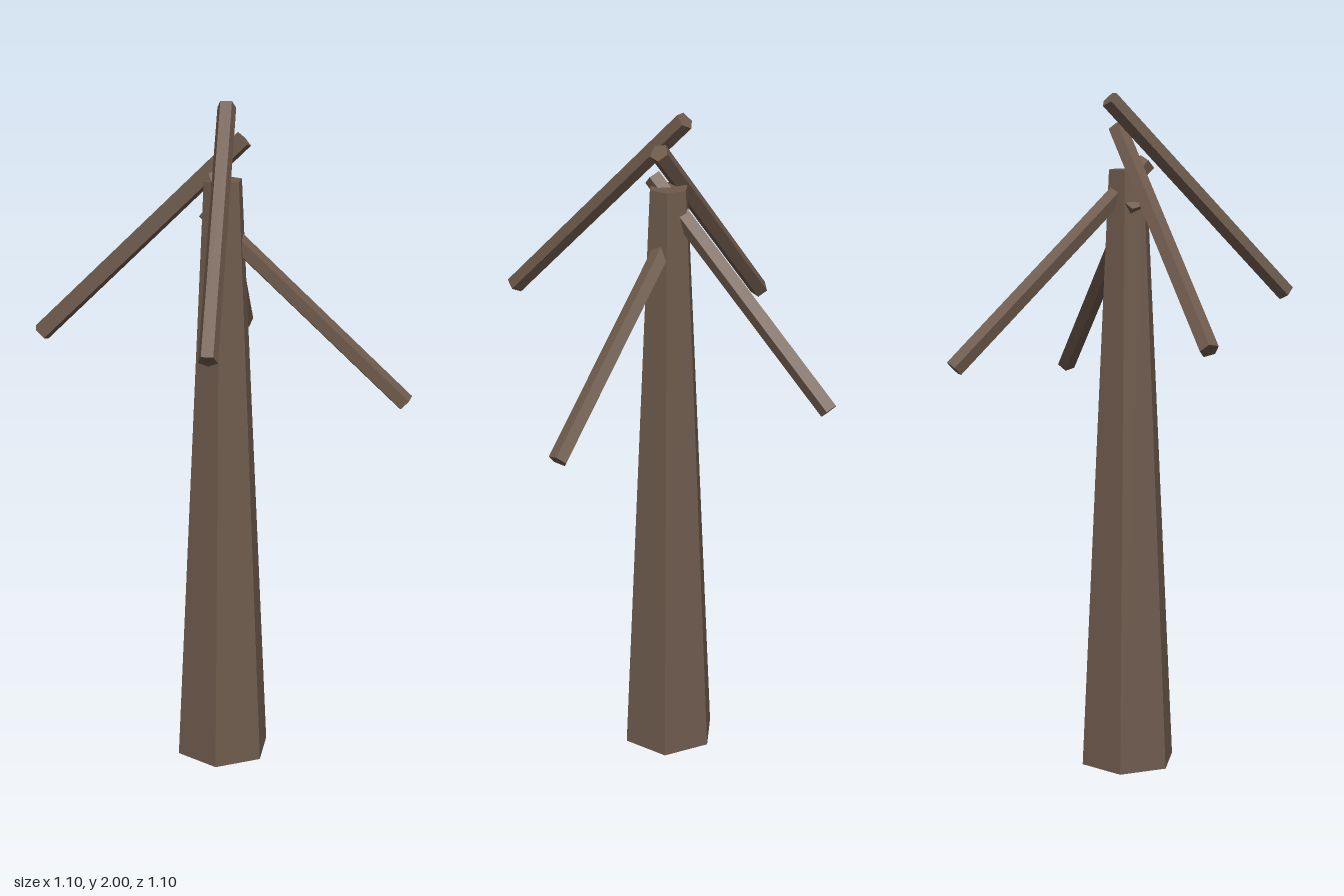
import * as THREE from 'three';

const bark = new THREE.MeshStandardMaterial({ color: 0x6e5a4c });
bark.name = 'bark brown';

// Solid with flat facets
function addMesh(parent, name, geometry) {
  const flat = geometry.toNonIndexed();
  flat.computeVertexNormals();
  const mesh = new THREE.Mesh(flat, bark);
  mesh.name = name;
  parent.add(mesh);
  return mesh;
}

// Five-sided straight branch from its low tip to its high end;
// ridge is the direction one of its long edges points to
function addBranch(parent, name, low, high, ridge) {
  const a = new THREE.Vector3(...low);
  const b = new THREE.Vector3(...high);
  const axis = b.clone().sub(a);
  const length = axis.length();
  axis.normalize();
  const side = axis.clone().cross(new THREE.Vector3(...ridge)).normalize();
  const edge = side.clone().cross(axis);
  const geometry = new THREE.CylinderGeometry(0.028, 0.028, length, 5);
  geometry.applyMatrix4(new THREE.Matrix4().makeBasis(side, axis, edge));
  addMesh(parent, name, geometry).position.copy(a).add(b).multiplyScalar(0.5);
}

export function createModel() {
  const tree = new THREE.Group();
  tree.name = 'bareTree';

  // Tapered six-sided trunk
  const trunk = addMesh(tree, 'trunk', new THREE.CylinderGeometry(0.058, 0.146, 1.78, 6));
  trunk.position.set(-0.002, 0.89, 0.003);

  // Four drooping branches crossing the top of the trunk
  addBranch(tree, 'leftBranch', [0.532, 1.143, -0.001], [-0.055, 1.69, -0.001], [0, 0, -1]);
  addBranch(tree, 'rightBranch', [-0.535, 1.318, 0.031], [0.057, 1.895, -0.006], [0, 0, -1]);
  addBranch(tree, 'frontBranch', [0.04, 1.4, 0.533], [0, 1.98, -0.053], [0, -1, 0]);
  addBranch(tree, 'backBranch', [-0.015, 1.228, -0.53], [-0.008, 1.8, 0.06], [0, 1, 0]);

  return tree;
}
